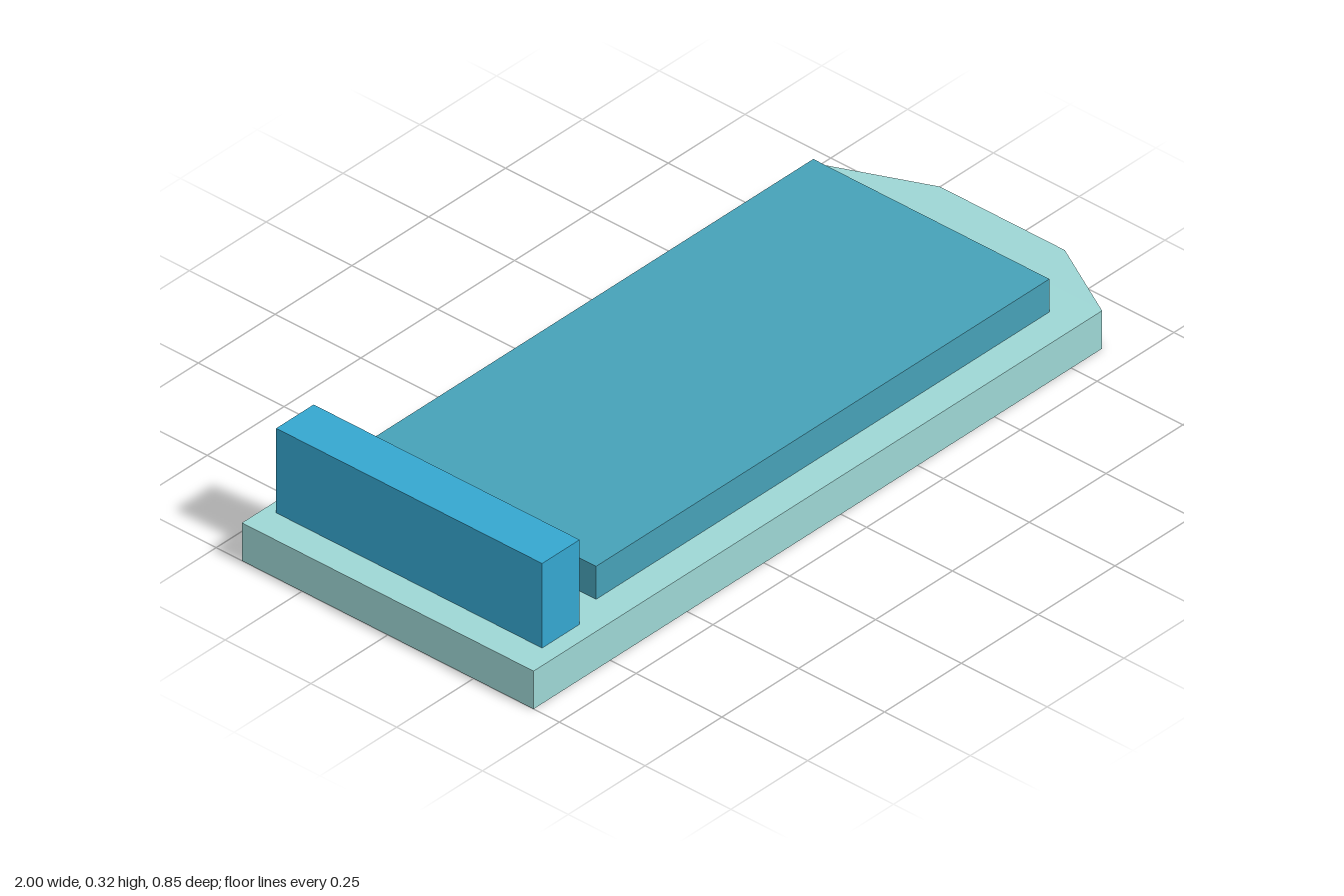
import * as THREE from 'three';

function part(name, geometry, color) {
  const material = new THREE.MeshStandardMaterial({ color, flatShading: true });
  const mesh = new THREE.Mesh(geometry, material);
  mesh.name = name;
  return mesh;
}

// Box given by its minimum and maximum corners
function block(name, [x0, y0, z0], [x1, y1, z1], color) {
  const mesh = part(name, new THREE.BoxGeometry(x1 - x0, y1 - y0, z1 - z0), color);
  mesh.position.set((x0 + x1) / 2, (y0 + y1) / 2, (z0 + z1) / 2);
  return mesh;
}

// Flat slab whose +x end narrows to a blunt nose
function hullGeometry() {
  const box = new THREE.BoxGeometry(2, 0.1, 0.85, 2, 1, 1);
  const p = box.attributes.position;
  for (let i = 0; i < p.count; i++) {
    const x = p.getX(i);
    if (Math.abs(x) < 0.01) p.setX(i, 0.85);
    else if (x > 0.5) {
      p.setY(i, Math.sign(p.getY(i)) * 0.021);
      p.setZ(i, Math.sign(p.getZ(i)) * 0.182);
    }
  }
  const geometry = box.toNonIndexed();
  geometry.computeVertexNormals();
  return geometry.translate(0, 0.05, 0);
}

export function createModel() {
  const model = new THREE.Group();
  model.name = 'barge';
  model.add(
    part('hull', hullGeometry(), 0x9dd6d4),
    // Raised cargo deck
    block('cargoDeck', [-0.705, 0.1, -0.345], [0.77, 0.187, 0.343], 0x46a1b7),
    // Upright cabin across the stern
    block('sternCabin', [-0.922, 0.1, -0.395], [-0.8, 0.323, 0.38], 0x35a6cf),
  );
  return model;
}
